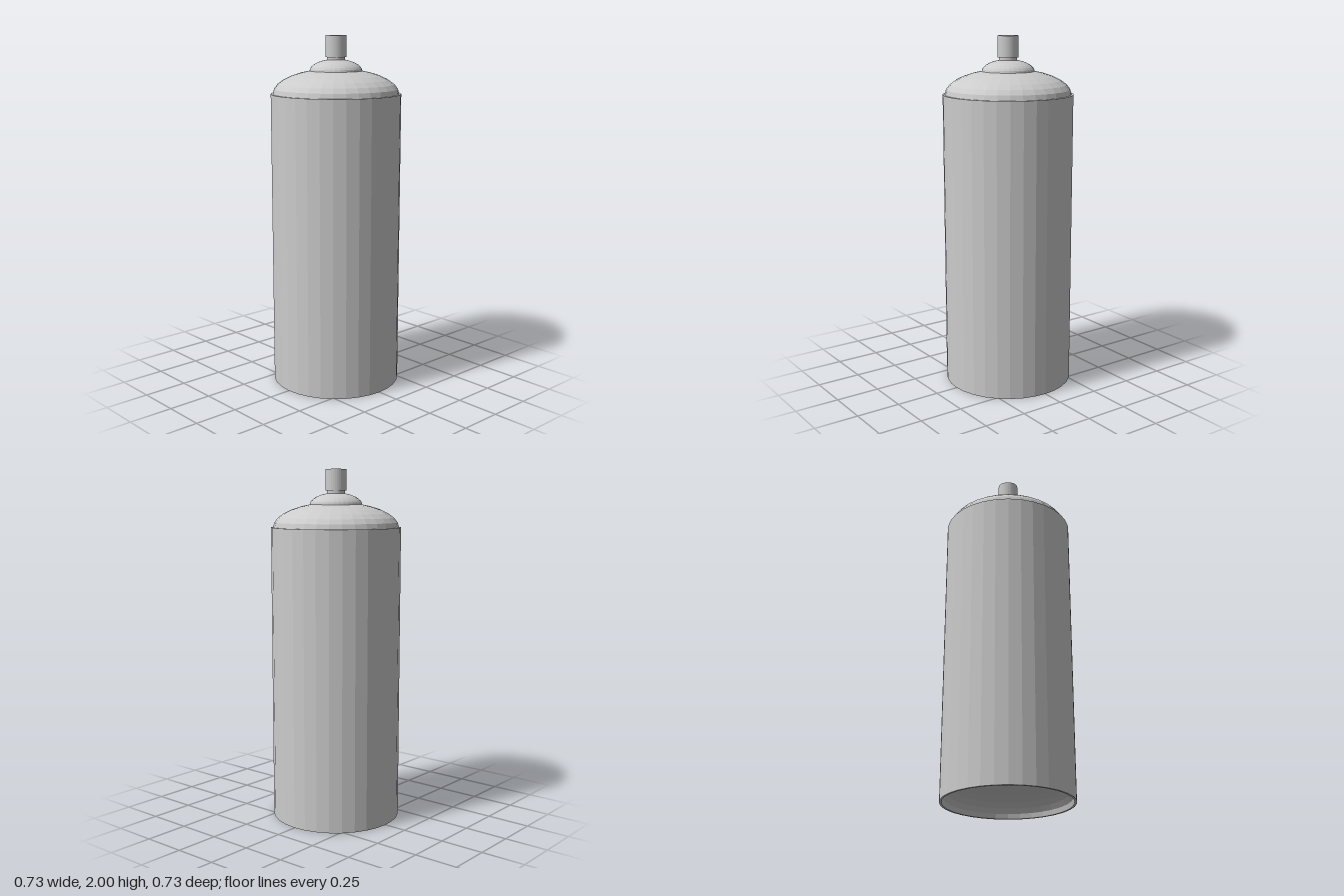
import * as THREE from 'three';

const SIDES = 32;
const BODY_R = 0.367, RIM_R = 0.355, SHOULDER_Y = 1.677;
const material = new THREE.MeshStandardMaterial({ color: 0xcccccc, flatShading: true });

// Quarter-ellipse profile, from the rim to the axis
function domeProfile(radius, height, y) {
  const points = [];
  for (let i = 0; i <= 8; i++) {
    const t = (i / 8) * Math.PI / 2;
    points.push([i === 8 ? 0 : radius * Math.cos(t), y + height * Math.sin(t)]);
  }
  return points;
}

function turned(name, profile) {
  const points = profile.map(([r, y]) => new THREE.Vector2(r, y));
  const mesh = new THREE.Mesh(new THREE.LatheGeometry(points, SIDES), material);
  mesh.name = name;
  return mesh;
}

export function createModel() {
  const group = new THREE.Group();
  group.name = 'sprayCan';

  // Can wall with its concave base and narrow top rim
  group.add(turned('canBody', [
    ...domeProfile(RIM_R, 0.14, 0).reverse(),
    [BODY_R, 0], [BODY_R, SHOULDER_Y], [RIM_R, SHOULDER_Y],
  ]));

  // Rounded shoulder and the valve cup on top of it
  group.add(turned('shoulder', domeProfile(RIM_R, 0.14, SHOULDER_Y)));
  group.add(turned('valveCup', domeProfile(0.148, 0.067, 1.802)));

  // Valve stem and spray nozzle
  group.add(turned('valveStem', [[0.05, 1.85], [0.05, 1.88]]));
  group.add(turned('nozzle', [[0, 1.88], [0.058, 1.88], [0.058, 2], [0, 2]]));

  return group;
}
